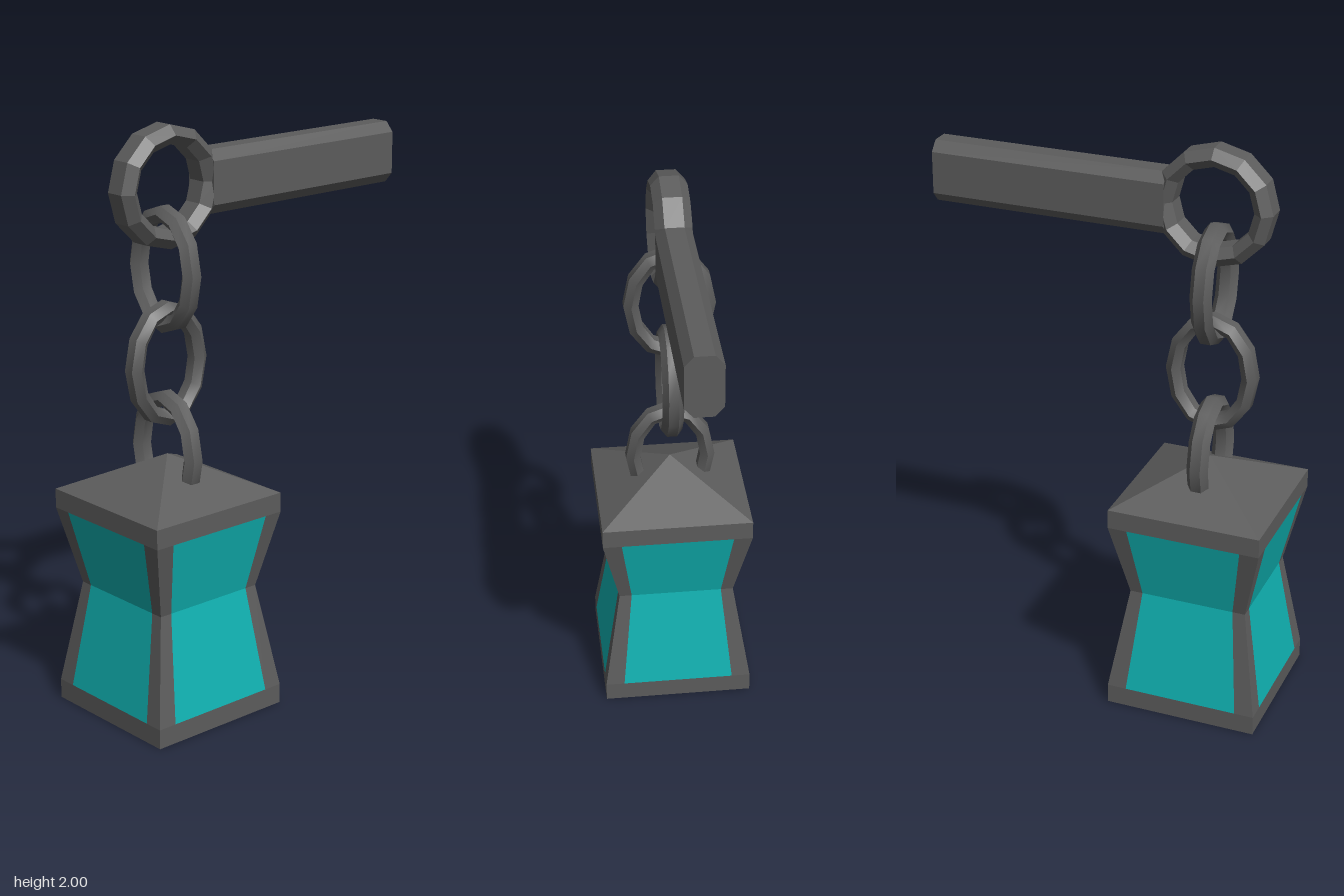
import * as THREE from 'three';
import { toCreasedNormals } from 'three/addons/utils/BufferGeometryUtils.js';

const metal = new THREE.MeshStandardMaterial({ color: 0x5c5c5c });
const metalFlat = new THREE.MeshStandardMaterial({ color: 0x5c5c5c, flatShading: true });
const glass = new THREE.MeshStandardMaterial({ color: 0x10b2b2, flatShading: true });
const Z = 0.355; // all hanging parts share this axis

function mesh(name, geometry, material) {
  const m = new THREE.Mesh(geometry, material);
  m.name = name;
  return m;
}

// Twelve-sided ring in the xy plane with a six-sided section, optionally stretched in y
function ringGeometry(outer, thick, halfWidth, halfFlat, stretch = 0) {
  const inner = outer - thick, mid = outer - thick / 2;
  const section = [
    [inner, -halfFlat], [mid, -halfWidth], [outer, -halfFlat],
    [outer, halfFlat], [mid, halfWidth], [inner, halfFlat], [inner, -halfFlat],
  ].map(([r, w]) => new THREE.Vector2(r, w));
  const g = new THREE.LatheGeometry(section, 12).rotateX(Math.PI / 2);
  const p = g.attributes.position;
  for (let i = 0; i < p.count; i++) {
    const x = p.getX(i), y = p.getY(i);
    p.setY(i, y + (stretch * y) / Math.hypot(x, y));
  }
  return g;
}

// Flat-sided surface from quads with counter-clockwise corners
function quadGeometry(quads) {
  const pos = [];
  for (const [a, b, c, d] of quads) pos.push(...a, ...b, ...c, ...a, ...c, ...d);
  const g = new THREE.BufferGeometry();
  g.setAttribute('position', new THREE.Float32BufferAttribute(pos, 3));
  g.computeVertexNormals();
  return g;
}

// Waisted square lantern: metal frame with glass set flush in each side
function createLantern() {
  const lantern = new THREE.Group();
  lantern.name = 'lantern';
  const y = [0, 0.068, 0.432, 0.698, 0.765];
  const half = [0.267, 0.267, 0.207, 0.267, 0.267];
  const pane = [0, 0.2, 0.163, 0.2, 0];
  const strip = (i, l0, r0, l1, r1) => [
    [l0, y[i], half[i]], [r0, y[i], half[i]],
    [r1, y[i + 1], half[i + 1]], [l1, y[i + 1], half[i + 1]],
  ];
  const frame = [], panes = [];
  for (const i of [0, 3]) frame.push(strip(i, -half[i], half[i], -half[i + 1], half[i + 1]));
  for (const i of [1, 2]) {
    frame.push(strip(i, -half[i], -pane[i], -half[i + 1], -pane[i + 1]));
    frame.push(strip(i, pane[i], half[i], pane[i + 1], half[i + 1]));
    panes.push(strip(i, -pane[i], pane[i], -pane[i + 1], pane[i + 1]));
  }
  const frameGeometry = quadGeometry(frame), paneGeometry = quadGeometry(panes);
  for (let k = 0; k < 4; k++) {
    const side = new THREE.Group();
    side.name = 'lanternSide';
    side.add(mesh('frame', frameGeometry, metalFlat), mesh('glassPane', paneGeometry, glass));
    side.rotation.y = (k * Math.PI) / 2;
    lantern.add(side);
  }

  // Pyramid roof and flat base
  const roof = mesh('roof', new THREE.ConeGeometry(half[4] * Math.SQRT2, 0.132, 4, 1, true), metalFlat);
  roof.rotation.y = Math.PI / 4;
  roof.position.y = y[4] + 0.066;
  const base = mesh('base', new THREE.PlaneGeometry(half[0] * 2, half[0] * 2), metalFlat);
  base.rotation.x = Math.PI / 2;
  lantern.add(roof, base);
  lantern.position.z = Z;
  return lantern;
}

export function createModel() {
  const model = new THREE.Group();
  model.name = 'hangingLantern';
  model.add(createLantern());

  // Chain of three oval links, alternating direction
  const chain = new THREE.Group();
  chain.name = 'chain';
  const linkGeometry = toCreasedNormals(ringGeometry(0.159, 0.052, 0.038, 0.018, 0.052), 0.72);
  [1.525, 1.209, 0.905].forEach((height, i) => {
    const link = mesh('chainLink', linkGeometry, metal);
    link.position.set(0, height, Z);
    link.rotation.y = i % 2 ? Math.PI / 2 : 0;
    chain.add(link);
  });
  model.add(chain);

  // Bracket ring at the end of the arm
  const ring = mesh('bracketRing', ringGeometry(0.202, 0.064, 0.062, 0.033), metalFlat);
  ring.rotation.y = Math.PI / 2;
  ring.position.set(0, 1.798, Z);
  model.add(ring);

  // Chamfered arm running back to the wall
  const w = 0.062, h = 0.106, cx = 0.03, cy = 0.034;
  const outline = new THREE.Shape([
    [-w + cx, -h], [w - cx, -h], [w, -h + cy], [w, h - cy],
    [w - cx, h], [-w + cx, h], [-w, h - cy], [-w, -h + cy],
  ].map(([x, y]) => new THREE.Vector2(x, y)));
  const arm = mesh('arm', new THREE.ExtrudeGeometry(outline, { depth: 0.82, bevelEnabled: false }), metalFlat);
  arm.position.set(0, 1.794, -0.623);
  model.add(arm);

  return model;
}
